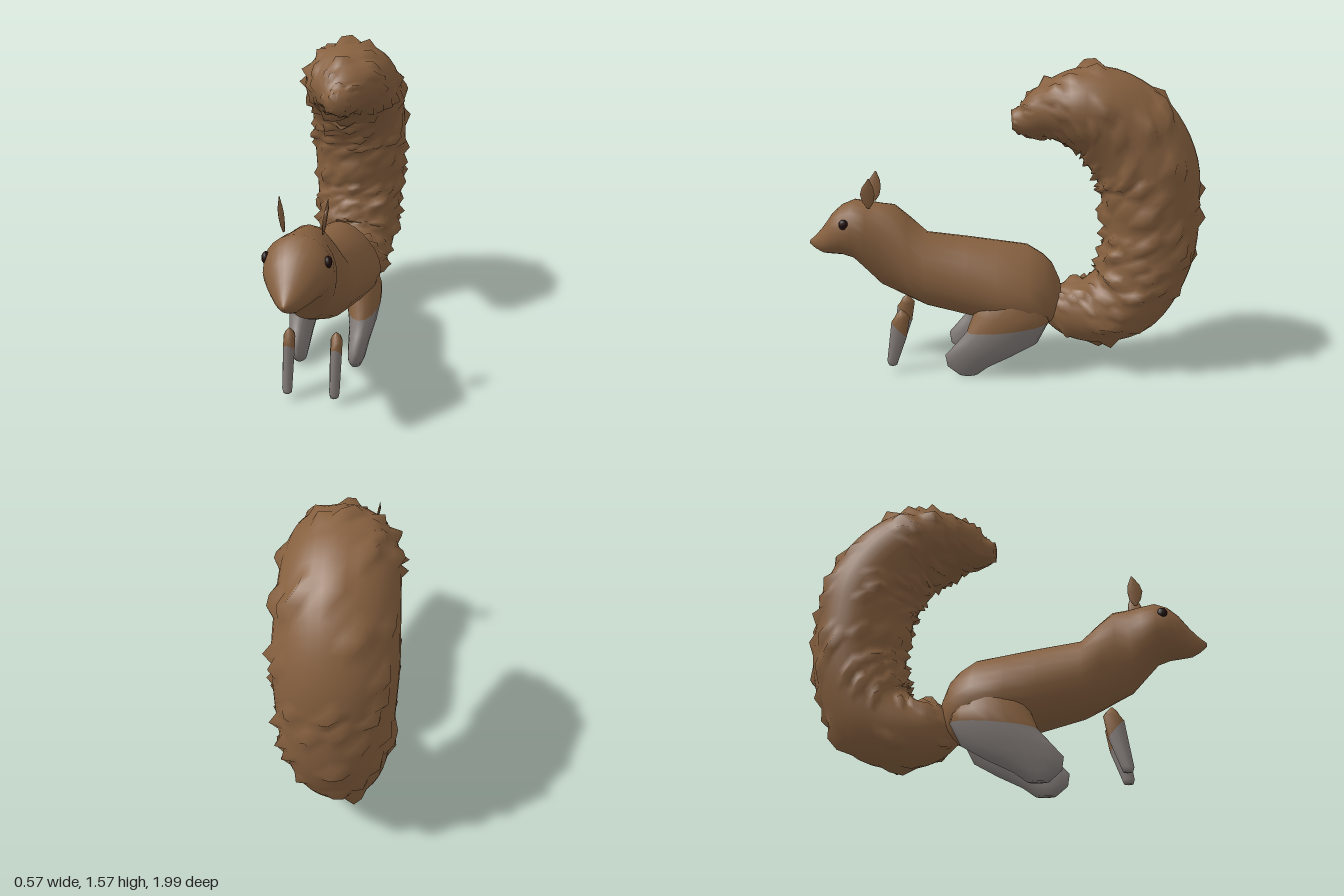
import * as THREE from 'three';

const mat = (name, color) => new THREE.MeshStandardMaterial({ name, color, side: THREE.DoubleSide });
const V = (x, y, z) => new THREE.Vector3(x, y, z);

// Elliptical ring around centre c with half axes u and v; `low` widens its lower half
function ring(c, u, v, segs, low = 0) {
  return Array.from({ length: segs }, (_, i) => {
    const a = (i / segs) * Math.PI * 2;
    return c.clone().addScaledVector(u, Math.cos(a) * (1 - low * Math.sin(a))).addScaledVector(v, Math.sin(a));
  });
}

// Closed skin through rings of equal size; faces from ring `split` on use material 1
function loft(rings, split = Infinity) {
  const n = rings[0].length, pts = rings.flat(), idx = [], m = rings.length;
  const centre = (r) => r.reduce((s, p) => s.add(p), V(0, 0, 0)).divideScalar(n);
  pts.push(centre(rings[0]), centre(rings[m - 1]));
  for (let j = 0; j < n; j++) idx.push(m * n, (j + 1) % n, j);
  let cut = 0;
  for (let i = 0; i < m - 1; i++) {
    if (i === split) cut = idx.length;
    for (let j = 0; j < n; j++) {
      const a = i * n + j, b = i * n + (j + 1) % n;
      idx.push(a, b, a + n, b, b + n, a + n);
    }
  }
  const k = (m - 1) * n;
  for (let j = 0; j < n; j++) idx.push(m * n + 1, k + j, k + (j + 1) % n);
  // Turn the skin outward if its volume is negative
  let vol = 0;
  for (let i = 0; i < idx.length; i += 3) {
    vol += pts[idx[i]].dot(pts[idx[i + 1]].clone().cross(pts[idx[i + 2]]));
  }
  if (vol < 0) {
    for (let i = 0; i < idx.length; i += 3) [idx[i], idx[i + 1]] = [idx[i + 1], idx[i]];
  }
  const g = new THREE.BufferGeometry().setFromPoints(pts);
  g.setIndex(idx);
  if (cut) {
    g.addGroup(0, cut, 0);
    g.addGroup(cut, idx.length - cut, 1);
  }
  g.computeVertexNormals();
  return g;
}

// Upright part from rows of [y, zBack, zFront, xInner, xOuter] on side s;
// the colour edge at row `split` rises to the back by `tilt`
function upright(rows, s, segs, split, tilt = 0) {
  return loft(rows.map(([y, z0, z1, x0, x1], i) =>
    ring(V(s * (x0 + x1) / 2, y, (z0 + z1) / 2), V(s * (x1 - x0) / 2, 0, 0),
      V(0, i === split ? -tilt : 0, (z1 - z0) / 2), segs)), split);
}

export function createModel() {
  const root = new THREE.Group();
  root.name = 'squirrel';
  const fur = mat('brownFur', 0x86603f);
  const grey = mat('greyFur', 0x827b78);
  const dark = mat('darkEye', 0x200e0e);
  const add = (name, geo, material) => {
    const mesh = new THREE.Mesh(geo, material);
    mesh.name = name;
    root.add(mesh);
    return mesh;
  };

  // Head and body: [z, bottom, top, half width, widening of the lower half]
  const body = [
    [1, 0.655, 0.675, 0.01], [0.97, 0.63, 0.7, 0.035], [0.93, 0.61, 0.745, 0.065],
    [0.88, 0.607, 0.815, 0.105], [0.83, 0.605, 0.86, 0.135], [0.77, 0.585, 0.885, 0.15],
    [0.7, 0.51, 0.877, 0.147], [0.64, 0.445, 0.868, 0.135], [0.57, 0.41, 0.86, 0.137],
    [0.5, 0.375, 0.8, 0.152], [0.41, 0.335, 0.715, 0.172, 0.05], [0.2, 0.285, 0.69, 0.192, 0.12],
    [0.05, 0.26, 0.67, 0.215, 0.25], [-0.1, 0.24, 0.65, 0.213, 0.28], [-0.18, 0.23, 0.6, 0.185, 0.25],
    [-0.23, 0.25, 0.55, 0.13, 0.15], [-0.27, 0.32, 0.46, 0.06],
  ];
  add('body', loft(body.map(([z, b, t, w, low]) =>
    ring(V(0, (b + t) / 2, z), V(w, 0, 0), V(0, (t - b) / 2, 0), 24, low))), fur);

  // Grey patch under the belly between the hind legs
  add('lowerBelly', new THREE.SphereGeometry(1, 20, 12).scale(0.14, 0.06, 0.18)
    .translate(0, 0.28, -0.03), grey);

  const hind = [
    [0.005, 0.15, 0.25, 0.115, 0.172], [0.05, 0.09, 0.305, 0.105, 0.19],
    [0.11, -0.03, 0.315, 0.1, 0.202], [0.18, -0.15, 0.255, 0.09, 0.222],
    [0.265, -0.205, 0.205, 0.07, 0.237], [0.33, -0.2, 0.17, 0.05, 0.236],
    [0.41, -0.18, 0.13, 0.03, 0.21], [0.48, -0.14, 0.08, 0.02, 0.16],
  ];
  const fore = [
    [0.04, 0.567, 0.61, 0.09, 0.13], [0.06, 0.56, 0.617, 0.087, 0.135],
    [0.235, 0.512, 0.588, 0.083, 0.138], [0.3, 0.495, 0.57, 0.083, 0.138],
    [0.32, 0.51, 0.56, 0.09, 0.13], [0.34, 0.533, 0.54, 0.107, 0.113],
  ];
  const ear = [
    [0.86, 0.675, 0.69, 0.08, 0.088], [0.89, 0.655, 0.71, 0.082, 0.094],
    [0.93, 0.648, 0.72, 0.086, 0.1], [0.965, 0.652, 0.708, 0.092, 0.106],
    [1.01, 0.67, 0.676, 0.102, 0.105],
  ];
  for (const [side, s] of [['left', 1], ['right', -1]]) {
    add(side + 'HindLeg', upright(hind, s, 16, 4, 0.025), [grey, fur]);
    add(side + 'FrontLeg', upright(fore, s, 8, 2, -0.04), [grey, fur]);
    add(side + 'Ear', upright(ear, s, 8), fur);
    add(side + 'Eye', new THREE.SphereGeometry(1, 12, 8).scale(0.017, 0.026, 0.024), dark)
      .position.set(s * 0.13, 0.787, 0.8);
  }

  // Tail path: [z, y, radius in the side plane, half width]
  const tail = [
    [-0.2, 0.32, 0.075, 0.075], [-0.3, 0.31, 0.14, 0.135], [-0.45, 0.305, 0.175, 0.185],
    [-0.6, 0.375, 0.21, 0.215], [-0.68, 0.52, 0.225, 0.235], [-0.72, 0.68, 0.232, 0.25],
    [-0.715, 0.87, 0.24, 0.26], [-0.69, 1.04, 0.25, 0.265], [-0.6, 1.2, 0.25, 0.258],
    [-0.46, 1.31, 0.23, 0.25], [-0.32, 1.335, 0.197, 0.23], [-0.19, 1.32, 0.135, 0.165],
    [-0.09, 1.285, 0.085, 0.09], [-0.02, 1.28, 0.045, 0.045],
  ];
  const path = new THREE.CatmullRomCurve3(tail.map(([z, y]) => V(0, y, z)));
  const size = new THREE.CatmullRomCurve3(tail.map(([, , r, w]) => V(r, w, 0)));
  let seed = 7;
  const rand = () => (seed = (seed * 16807) % 2147483647) / 2147483647;
  const rings = [], steps = 60;
  for (let i = 0; i <= steps; i++) {
    const c = path.getPoint(i / steps), t = path.getTangent(i / steps), k = size.getPoint(i / steps);
    const r = ring(c, V(k.y, 0, 0), V(0, -t.z, t.y).multiplyScalar(k.x), 36);
    // Scattered pointed tufts of fur, smaller where the tail is thin
    for (const p of r) {
      const tuft = rand() < 0.11 ? (0.02 + rand() * 0.02) * Math.min(1, k.x / 0.18) : 0;
      p.addScaledVector(p.clone().sub(c).normalize(), tuft);
    }
    rings.push(r);
  }
  add('tail', loft(rings), fur);
  return root;
}
